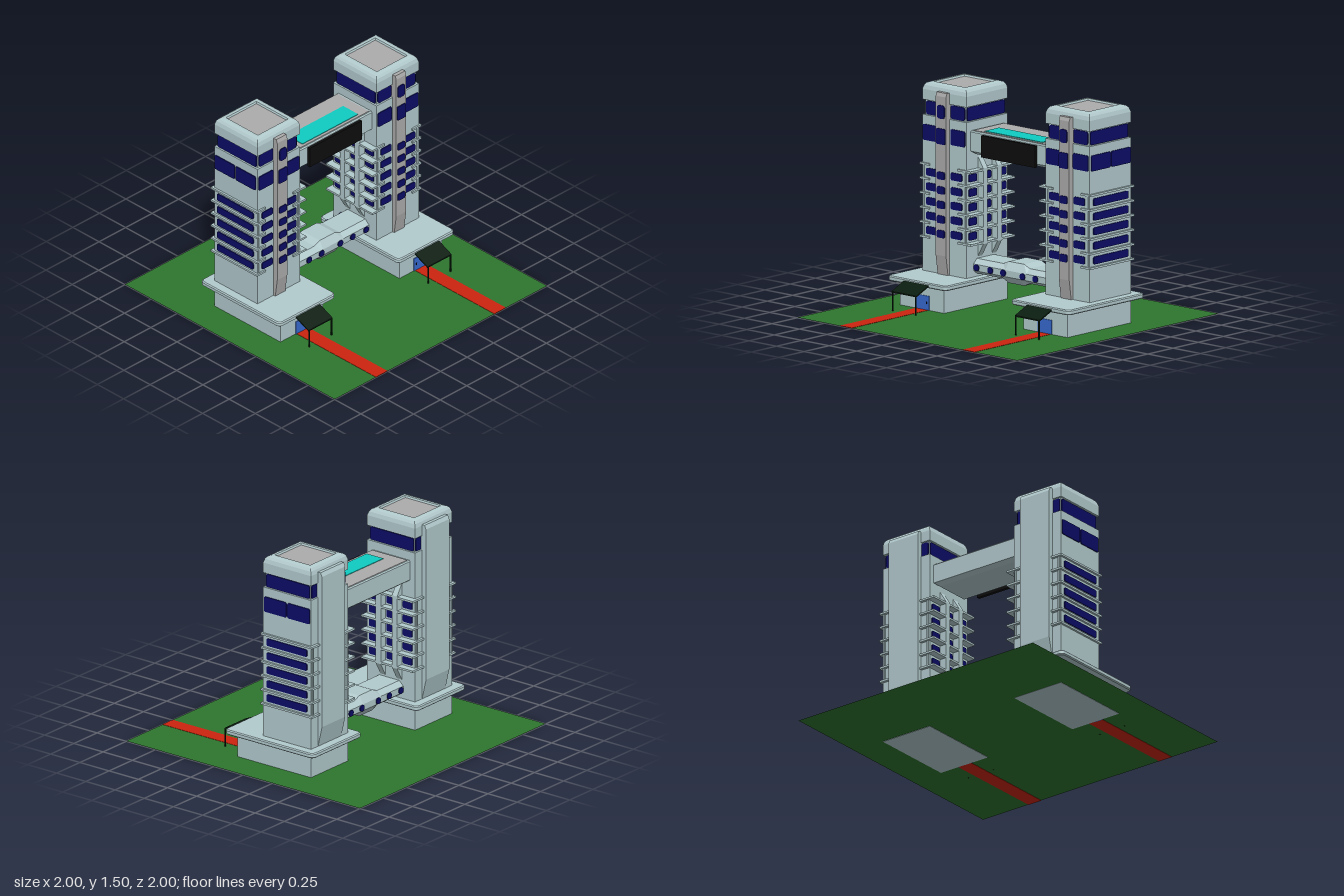
import * as THREE from 'three';

const mat = (name, color, side = THREE.FrontSide) => {
  const m = new THREE.MeshStandardMaterial({ color, side });
  m.name = name;
  return m;
};
const M = {
  wall: mat('pale wall', 0xb3cbce),
  grey: mat('grey concrete', 0xacacac),
  navy: mat('navy glass', 0x0c0c68),
  grass: mat('grass', 0x2e762e, THREE.DoubleSide),
  red: mat('red path', 0xcc240f),
  cyan: mat('pool cyan', 0x0fcbc1),
  black: mat('screen black', 0x0d0d0d),
  blue: mat('door blue', 0x386bd0),
  dark: mat('canopy dark green', 0x0b1d10),
};

function add(parent, name, geo, material) {
  const m = new THREE.Mesh(geo, material);
  m.name = name;
  parent.add(m);
  return m;
}

// Box given by its limits on each axis
function box(parent, name, material, [x0, x1], [y0, y1], [za, zb]) {
  const g = new THREE.BoxGeometry(x1 - x0, y1 - y0, Math.abs(zb - za));
  g.translate((x0 + x1) / 2, (y0 + y1) / 2, (za + zb) / 2);
  return add(parent, name, g, material);
}

function roundedRect(w, h, r) {
  const s = new THREE.Shape(), a = w / 2, b = h / 2;
  s.absarc(a - r, b - r, r, 0, Math.PI / 2);
  s.absarc(-a + r, b - r, r, Math.PI / 2, Math.PI);
  s.absarc(-a + r, -b + r, r, Math.PI, Math.PI * 1.5);
  s.absarc(a - r, -b + r, r, Math.PI * 1.5, Math.PI * 2);
  return s;
}

// Thin rounded plate on a wall; angle turns it from +z
function plate(parent, name, material, angle, [x, y, z], w, h, r = 0.012) {
  const g = new THREE.ExtrudeGeometry(roundedRect(w, h, r), { depth: 0.007, bevelEnabled: false, curveSegments: 4 });
  g.rotateY(angle);
  g.translate(x, y, z);
  return add(parent, name, g, material);
}

// Profile in (x, y), extruded along z
function prismZ(pts, z0, z1) {
  const s = new THREE.Shape(pts.map(p => new THREE.Vector2(...p)));
  return new THREE.ExtrudeGeometry(s, { depth: z1 - z0, bevelEnabled: false }).translate(0, 0, z0);
}
// Profile in (z, y), extruded along x
function prismX(pts, x0, x1) {
  return prismZ(pts, 0, x1 - x0).rotateY(-Math.PI / 2).translate(x1, 0, 0);
}

// Flat-sided skin through equal-sized rings, counter-clockwise about the axis
function loft(rings) {
  const v = [], n = rings[0].length;
  for (let i = 0; i < rings.length - 1; i++)
    for (let j = 0; j < n; j++) {
      const k = (j + 1) % n;
      const [a, b, c, d] = [rings[i][j], rings[i][k], rings[i + 1][k], rings[i + 1][j]];
      v.push(...a, ...b, ...c, ...a, ...c, ...d);
    }
  const g = new THREE.BufferGeometry();
  g.setAttribute('position', new THREE.Float32BufferAttribute(v, 3));
  g.computeVertexNormals();
  return g;
}
const rectRing = (cx, cz, hx, hz, y) =>
  [[1, 1], [1, -1], [-1, -1], [-1, 1]].map(([i, k]) => [cx + i * hx, y, cz + k * hz]);

const CX = -0.185, X0 = -0.39, X1 = 0.02;

// One tower; s = +1 or -1 picks the side, z values are distances from the middle
function tower(s) {
  const t = new THREE.Group();
  t.name = s > 0 ? 'frontTower' : 'rearTower';
  const cz = s * 0.56, Z = (a, b) => [s * a, s * b];
  const outAngle = s > 0 ? 0 : Math.PI, inAngle = Math.PI - outAngle;

  // Podium with overhanging slab
  box(t, 'podium', M.wall, [X0, 0.24], [0, 0.18], Z(0.36, 0.76));
  const slab = new THREE.ExtrudeGeometry(roundedRect(0.745, 0.52, 0.03),
    { depth: 0.021, bevelSize: 0.008, bevelThickness: 0.007, bevelSegments: 1, curveSegments: 5 });
  add(t, 'podiumSlab', slab.rotateX(-Math.PI / 2).translate(-0.08, 0.177, cz), M.wall);

  // Shaft, neck, cap and roof
  box(t, 'shaft', M.wall, [X0, X1], [0.2, 1.275], Z(0.36, 0.76));
  box(t, 'neck', M.wall, [X0 + 0.015, X1 - 0.015], [1.27, 1.385], Z(0.375, 0.745));
  add(t, 'cap', loft([[0.17, 0.17, 1.378], [0.205, 0.2, 1.378], [0.205, 0.2, 1.45], [0.197, 0.192, 1.477],
    [0.185, 0.18, 1.493], [0.165, 0.16, 1.5], [0.152, 0.143, 1.5], [0.146, 0.137, 1.485]]
    .map(([hx, hz, y]) => rectRing(CX, cz, hx, hz, y))), M.wall);
  box(t, 'roof', M.grey, [CX - 0.147, CX + 0.147], [1.47, 1.487], [cz - 0.138, cz + 0.138]);

  // Grey service column on the entrance side, broad pale one on the opposite side
  add(t, 'serviceColumn', prismZ([[0, 0.2], [0.035, 0.2], [0.055, 0.34], [0.055, 1.43], [0.045, 1.455], [0, 1.455]],
    cz - 0.047, cz + 0.047), M.grey);
  add(t, 'backColumn', prismZ([[X0 + 0.02, 0.2], [X0, 0.2], [-0.425, 0.35], [-0.425, 1.43], [-0.412, 1.457],
    [X0 + 0.02, 1.457]], cz - 0.125, cz + 0.125), M.wall);

  // Fins on the inner wall
  for (const x of [-0.255, -0.115])
    add(t, 'innerFin', prismX([[0.37, 0.33], [0.36, 0.34], [0.31, 0.43], [0.31, 0.95], [0.36, 1.03], [0.37, 1.03]]
      .map(([z, y]) => [s * z, y]), x - 0.022, x + 0.022), M.wall);

  // Ledges that wrap the corners, with slim posts
  for (let i = 0; i < 6; i++) {
    const y = 0.44 + i * 0.1;
    box(t, 'outerLedge', M.wall, [-0.41, 0.032], [y - 0.007, y + 0.007], Z(0.69, 0.775));
    box(t, 'innerLedge', M.wall, [-0.41, 0.032], [y - 0.007, y + 0.007], Z(0.31, 0.43));
  }
  for (const x of [-0.392, 0.018])
    for (const z of [0.745, 0.375])
      box(t, 'ledgePost', M.wall, [x - 0.008, x + 0.008], [0.44, 0.94], [s * z - 0.006, s * z + 0.006]);

  // Five floors of windows
  for (let i = 0; i < 5; i++) {
    const y = 0.488 + i * 0.1;
    plate(t, 'outerWindow', M.navy, outAngle, [-0.187, y, s * 0.76], 0.345, 0.052);
    for (const [z, w, x] of [[0.67, 0.1, X1], [0.557, 0.068, 0.055], [0.447, 0.1, X1]])
      plate(t, 'sideWindow', M.navy, Math.PI / 2, [x, y, s * z], w, 0.052);
    for (const [x, w] of [[-0.33, 0.08], [-0.185, 0.07], [-0.04, 0.08]])
      plate(t, 'innerWindow', M.navy, inAngle, [x, y, s * 0.36], w, 0.052);
  }

  // Large windows on the two upper floors
  for (const x of [-0.287, -0.088]) {
    plate(t, 'upperOuterWindow', M.navy, outAngle, [x, 1.157, s * 0.76], 0.19, 0.108);
  }
  for (const [z, w, x] of [[0.682, 0.138, X1], [0.558, 0.08, 0.055], [0.435, 0.13, X1]])
    plate(t, 'upperSideWindow', M.navy, Math.PI / 2, [x, 1.157, s * z], w, 0.108);
  plate(t, 'topOuterWindow', M.navy, outAngle, [CX, 1.325, s * 0.745], 0.37, 0.092);
  plate(t, 'topInnerWindow', M.navy, inAngle, [CX, 1.325, s * 0.375], 0.37, 0.092);
  for (const [z, w, x] of [[0.668, 0.135, X1 - 0.015], [0.557, 0.066, 0.055], [0.448, 0.13, X1 - 0.015]])
    plate(t, 'topSideWindow', M.navy, Math.PI / 2, [x, 1.325, s * z], w, 0.092, 0.02);
  for (const z of [0.71, 0.41])
    plate(t, 'topBackWindow', M.navy, -Math.PI / 2, [X0 + 0.015, 1.325, s * z], 0.06, 0.092);

  // Entrance: door, sloping canopy on posts, path
  box(t, 'door', M.blue, [0.238, 0.246], [0, 0.1], Z(0.493, 0.62));
  box(t, 'doorHandle', M.black, [0.246, 0.25], [0.045, 0.06], Z(0.51, 0.518));
  add(t, 'canopy', prismZ([[0.3, 0.18], [0.42, 0.128], [0.42, 0.137], [0.3, 0.19]], cz - 0.113, cz + 0.113), M.dark);
  for (const k of [-1, 1]) {
    const z = cz + k * 0.105;
    box(t, 'canopyPost', M.dark, [0.414, 0.422], [0, 0.134], [z - 0.004, z + 0.004]);
  }
  box(t, 'path', M.red, [0.24, 1], [0, 0.004], Z(0.503, 0.612));
  return t;
}

function upperBridge() {
  const b = new THREE.Group();
  b.name = 'upperBridge';
  add(b, 'bridgeHull', loft([[0, 0.33, 1.05], [0.13, 0.33, 1.05], [0.163, 0.36, 1.073], [0.163, 0.36, 1.205],
    [0.155, 0.36, 1.213], [0, 0.36, 1.213]].map(([hx, hz, y]) => rectRing(-0.185, 0, hx, hz, y))), M.wall);
  box(b, 'bridgeDeck', M.grey, [-0.335, -0.035], [1.21, 1.217], [-0.345, 0.345]);
  box(b, 'pool', M.cyan, [-0.197, -0.055], [1.214, 1.221], [-0.262, 0.262]);
  box(b, 'screen', M.black, [-0.022, -0.002], [1.05, 1.2], [-0.245, 0.245]);
  return b;
}

function lowerBridge() {
  const b = new THREE.Group();
  b.name = 'lowerBridge';
  const cx = -0.17;
  // Eight-sided section that swells in the middle
  const ring = (z, lo, hi) => [[0.12, 0.25], [0.12, 0.295], [0.085, hi], [-0.085, hi], [-0.12, 0.295],
    [-0.12, 0.25], [-0.085, lo], [0.085, lo]].map(([x, y]) => [cx + x, y, z]);
  add(b, 'tube', loft([[-0.37, 0.225, 0.328], [-0.12, 0.225, 0.328], [-0.07, 0.202, 0.35],
    [0.07, 0.202, 0.35], [0.12, 0.225, 0.328], [0.37, 0.225, 0.328]].map(r => ring(...r))), M.wall);
  for (const z of [-0.33, -0.205, -0.088, 0.088, 0.205, 0.33])
    for (const k of [-1, 1])
      plate(b, 'porthole', M.navy, k * Math.PI / 2, [cx + k * 0.12, 0.273, z], 0.046, 0.044, 0.02);
  return b;
}

export function createModel() {
  const model = new THREE.Group();
  model.name = 'twinTowers';
  add(model, 'lawn', new THREE.PlaneGeometry(2, 2).rotateX(-Math.PI / 2).translate(0, 0.002, 0), M.grass);
  model.add(tower(1), tower(-1), upperBridge(), lowerBridge());
  return model;
}
